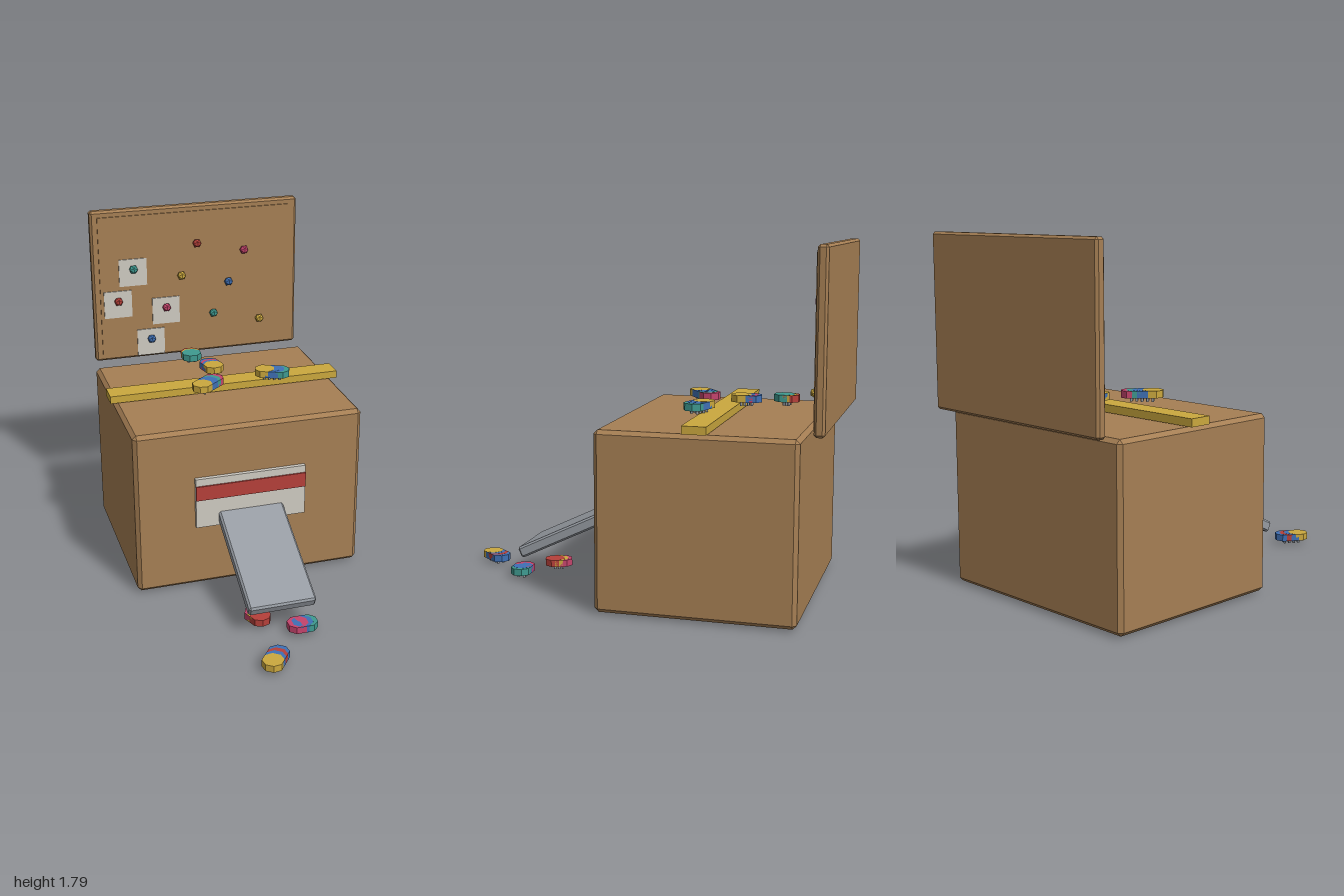
import * as THREE from 'three';
import { ConvexGeometry } from 'three/addons/geometries/ConvexGeometry.js';

const mat = (name, color) => Object.assign(new THREE.MeshStandardMaterial({ color }), { name });

export function createModel() {
  const model = new THREE.Group();
  model.name = 'boxWithBoard';
  const M = {
    brown: mat('cardboard', 0xa67f54),
    yellow: mat('yellow', 0xcba83e),
    white: mat('paper', 0xcfcbc2),
    red: mat('red', 0xb5403a),
    grey: mat('metal', 0x969ba2),
    pink: mat('pink', 0xc4446c),
    teal: mat('teal', 0x3f9a90),
    blue: mat('blue', 0x3f70b5),
  };

  const add = (name, geo, material, x, y, z, parent = model) => {
    const mesh = new THREE.Mesh(geo, material);
    mesh.name = name;
    mesh.position.set(x, y, z);
    parent.add(mesh);
    return mesh;
  };

  // Box with every edge cut by a flat chamfer
  const chamferBox = (w, h, d, c) => {
    const pts = [];
    for (const x of [-1, 1]) for (const y of [-1, 1]) for (const z of [-1, 1]) {
      for (let a = 0; a < 3; a++) {
        const inset = [0, 1, 2].map((i) => (i === a ? 0 : c));
        pts.push(new THREE.Vector3(
          x * (w / 2 - inset[0]), y * (h / 2 - inset[1]), z * (d / 2 - inset[2])));
      }
    }
    return new ConvexGeometry(pts);
  };
  const block = (w, h, d) => new THREE.BoxGeometry(w, h, d);

  // Main box, tape across the lid
  add('box', chamferBox(1.224, 0.9, 0.99, 0.02), M.brown, 0, 0.46, -0.395);
  add('tape', block(1.27, 0.04, 0.12), M.yellow, 0, 0.935, -0.4);

  // Front label with its stripe
  add('label', block(0.595, 0.28, 0.024), M.white, 0, 0.5, 0.11);
  add('labelStripe', block(0.595, 0.08, 0.009), M.red, 0, 0.56, 0.1255);

  // Sloping chute
  const chute = add('chute', chamferBox(0.352, 0.06, 0.66, 0.01), M.grey, 0, 0.29, 0.36);
  chute.rotation.x = 0.45;

  // Pinboard behind the box
  add('boardFrame', chamferBox(1.19, 0.87, 0.052, 0.012), M.brown, 0, 1.355, -0.974);
  add('boardPanel', block(1.11, 0.81, 0.01), M.brown, 0, 1.35, -0.946);

  // Faceted pins, some of them holding a note
  const cycle = [M.red, M.pink, M.teal, M.yellow, M.blue];
  const pinX = [0, 0.275, -0.367, -0.092, 0.183, -0.458, -0.183, 0.092, 0.367, -0.275];
  const noted = [2, 5, 6, 9];
  const pinGeo = new THREE.IcosahedronGeometry(0.026, 0);
  pinX.forEach((x, i) => {
    const y = 1.575 - i * 0.06;
    add('pin', pinGeo, cycle[i % 5], x, y, -0.92);
    if (noted.includes(i)) add('note', block(0.158, 0.155, 0.006), M.white, x, y - 0.022, -0.938);
  });

  // Toys made of overlapping eight-sided discs on short feet
  const discGeo = new THREE.CylinderGeometry(0.055, 0.055, 0.036, 8).toNonIndexed();
  discGeo.computeVertexNormals();
  const footGeo = new THREE.CylinderGeometry(0.007, 0.007, 0.022, 6);
  const toy = (y, [x0, z0], [x1, z1], colours) => {
    const group = new THREE.Group();
    group.name = 'discToy';
    const angle = Math.atan2(x1 - x0, z1 - z0);
    colours.forEach((c, i) => {
      const t = i / (colours.length - 1);
      const x = THREE.MathUtils.lerp(x0, x1, t), z = THREE.MathUtils.lerp(z0, z1, t);
      // each disc sits a hair lower than the one before
      const disc = add('disc', discGeo, M[c], x, y + 0.04 - i * 0.0006, z, group);
      disc.rotation.y = angle + Math.PI / 8;
      for (const s of [-1, 1]) {
        add('foot', footGeo, M.grey, x + s * 0.016 * Math.cos(angle), y + 0.011,
          z - s * 0.016 * Math.sin(angle), group);
      }
    });
    model.add(group);
  };

  // On the lid
  toy(0.957, [-0.16, -0.24], [-0.08, -0.31], ['yellow', 'blue', 'blue', 'teal', 'pink']);
  toy(0.957, [-0.03, -0.485], [-0.04, -0.538], ['yellow', 'blue', 'pink', 'blue']);
  toy(0.957, [-0.1, -0.695], [-0.1, -0.72], ['teal', 'yellow', 'red']);
  toy(0.957, [0.22, -0.35], [0.297, -0.32], ['yellow', 'blue', 'blue', 'teal']);
  // On the ground by the chute
  toy(0, [-0.142, 0.942], [-0.095, 0.88], ['yellow', 'blue', 'red', 'blue']);
  toy(0, [0.1, 0.67], [0.125, 0.67], ['blue', 'teal']);
  toy(0, [0.075, 0.67], [0.085, 0.67], ['pink', 'pink']);
  toy(0, [-0.085, 0.555], [-0.1, 0.515], ['red', 'yellow', 'pink']);

  return model;
}
